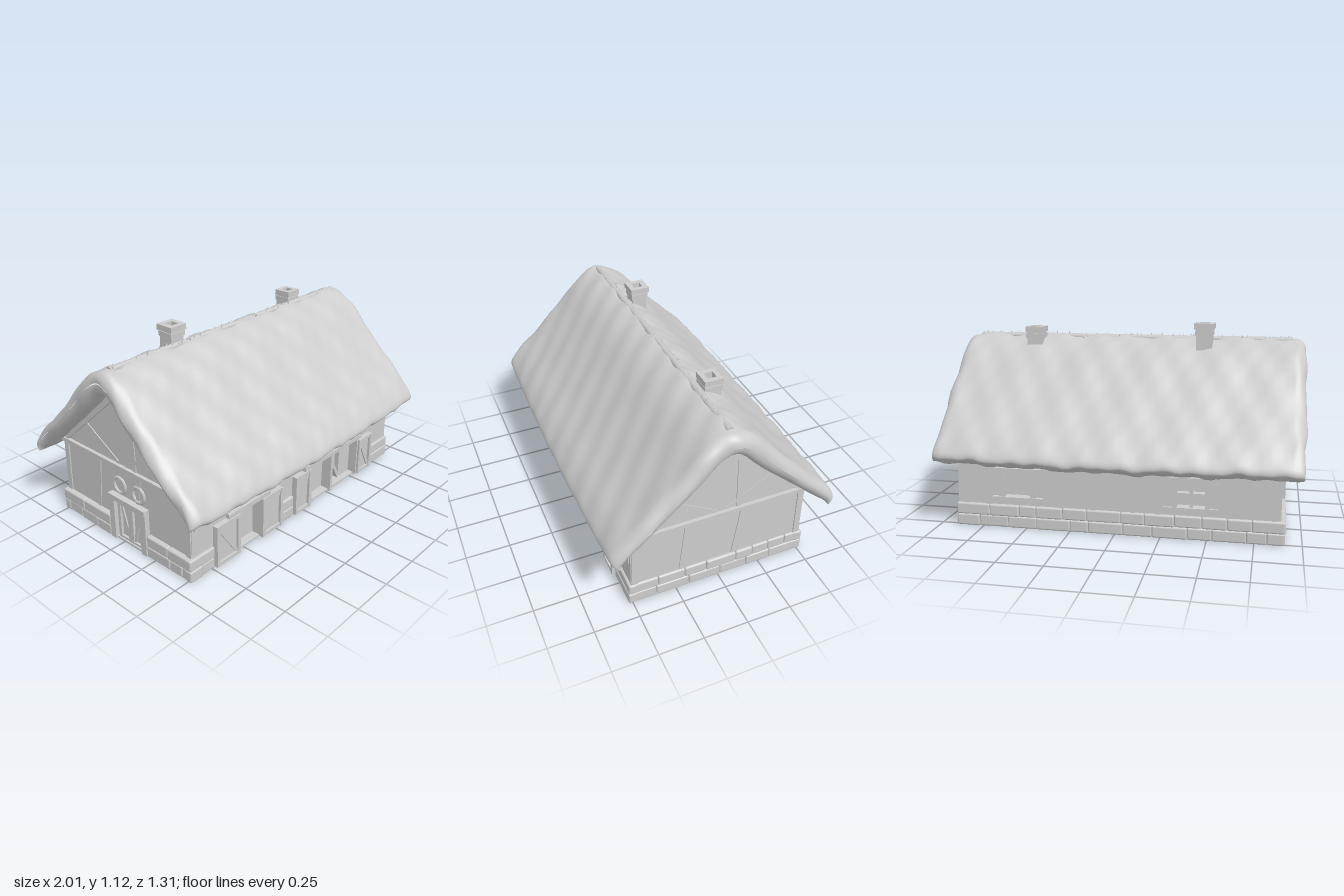
import * as THREE from 'three';
import { RoundedBoxGeometry } from 'three/addons/geometries/RoundedBoxGeometry.js';

export function createModel() {
  const root = new THREE.Group();
  root.name = 'thatchedBarn';
  const clay = new THREE.MeshStandardMaterial({ color: 0xcccccc });
  clay.name = 'paleGrey';

  let seed = 7;
  const rand = (a = 0, b = 1) => {
    seed = (seed * 16807) % 2147483647;
    return a + (b - a) * (seed / 2147483647);
  };
  const group = (name, parent = root) => {
    const g = new THREE.Group();
    g.name = name;
    parent.add(g);
    return g;
  };
  const add = (parent, name, geo) => {
    const m = new THREE.Mesh(geo, clay);
    m.name = name;
    parent.add(m);
    return m;
  };
  // Box given by its min and max corners
  const box = (parent, name, x0, x1, y0, y1, z0, z1) => {
    const m = add(parent, name, new THREE.BoxGeometry(x1 - x0, y1 - y0, z1 - z0));
    m.position.set((x0 + x1) / 2, (y0 + y1) / 2, (z0 + z1) / 2);
    return m;
  };
  // Flat bar between two points in the local xy plane
  const bar = (parent, name, ax, ay, bx, by, w, z0, z1) => {
    const m = add(parent, name, new THREE.BoxGeometry(Math.hypot(bx - ax, by - ay), w, z1 - z0));
    m.position.set((ax + bx) / 2, (ay + by) / 2, (z0 + z1) / 2);
    m.rotation.z = Math.atan2(by - ay, bx - ax);
    return m;
  };
  const polygon = pts => new THREE.Shape(pts.map(p => new THREE.Vector2(...p)));
  const rect = (x0, x1, y0, y1) => [[x0, y0], [x1, y0], [x1, y1], [x0, y1]];
  const wall = (parent, name, pts, holes, depth = 0.05) => {
    const s = polygon(pts);
    holes.forEach(h => s.holes.push(polygon(rect(...h))));
    return add(parent, name, new THREE.ExtrudeGeometry(s, { depth, bevelEnabled: false }));
  };

  // Each side is built facing +z, then turned into place
  const front = group('frontSide');
  const back = group('backSide');
  back.rotation.y = Math.PI;
  const right = group('plainGable');
  right.rotation.y = Math.PI / 2;
  const left = group('doorGable');
  left.rotation.y = -Math.PI / 2;

  // Walls and floor
  const doorways = [[-0.54, -0.37, 0.01, 0.25], [0.08, 0.27, 0.01, 0.25], [0.29, 0.55, 0.01, 0.25]];
  const windows = [[-0.62, -0.47, 0.18, 0.32], [0.34, 0.49, 0.18, 0.32]];
  const gableDoor = [-0.06, 0.15, 0.01, 0.25];
  const gable = [[-0.505, 0], [0.505, 0], [0.505, 0.47], [0, 0.92], [-0.505, 0.47]];
  wall(front, 'frontWall', rect(-0.88, 0.885, 0, 0.48), doorways).position.z = 0.455;
  wall(back, 'backWall', rect(-0.885, 0.88, 0, 0.48), windows).position.z = 0.455;
  wall(right, 'gableWall', gable, []).position.z = 0.84;
  wall(left, 'gableWall', gable, [gableDoor]).position.z = 0.83;
  box(root, 'floor', -0.9, 0.9, 0, 0.012, -0.51, 0.51);

  // Stone footing: two courses of uneven blocks, left out at the doorways
  const footing = (parent, x0, x1, z) => {
    for (let row = 0; row < 2; row++) {
      let x = x0;
      while (x < x1 - 0.001) {
        let end = x + rand(0.09, 0.2);
        if (x1 - end < 0.06) end = x1;
        const stone = add(parent, 'footingStone',
          new RoundedBoxGeometry(end - x, 0.066, 0.05, 2, 0.01));
        stone.position.set((x + end) / 2, 0.033 + row * 0.064, z - 0.025 + rand(-0.005, 0.003));
        x = end;
      }
    }
  };
  for (const [a, b] of [[-0.91, -0.73], [-0.2, -0.08], [0.69, 0.905]]) footing(front, a, b, 0.522);
  footing(back, -0.905, 0.91, 0.522);
  footing(right, -0.52, 0.52, 0.905);
  footing(left, -0.52, -0.1, 0.91);
  footing(left, 0.19, 0.52, 0.91);

  // Open door leaves with frame and diagonal brace
  const leaf = (parent, x0, x1, y1, z, flip) => {
    const g = group('doorLeaf', parent);
    const t = 0.02;
    box(g, 'boards', x0, x1, 0.005, y1, z, z + 0.018);
    box(g, 'sideRail', x0, x0 + t, 0.005, y1, z, z + 0.033);
    box(g, 'sideRail', x1 - t, x1, 0.005, y1, z, z + 0.033);
    for (const y of [0.005, y1 - t]) box(g, 'crossRail', x0, x1, y, y + t, z, z + 0.031);
    const [a, b] = flip ? [x1 - t, x0 + t] : [x0 + t, x1 - t];
    bar(g, 'brace', a, y1 - t, b, 0.025, 0.018, z, z + 0.026);
  };
  leaf(front, -0.73, -0.55, 0.25, 0.505, false);
  leaf(front, -0.37, -0.2, 0.25, 0.505, true);
  leaf(front, -0.08, 0.06, 0.25, 0.505, true);
  leaf(front, 0.55, 0.69, 0.24, 0.505, false);

  // Lintels, posts and recessed door boards
  box(front, 'lintel', -0.63, -0.3, 0.25, 0.275, 0.5, 0.53);
  box(front, 'lintel', 0.01, 0.57, 0.25, 0.275, 0.5, 0.53);
  for (const x of [0.065, 0.27, 0.54]) box(front, 'doorPost', x, x + 0.02, 0, 0.25, 0.46, 0.525);
  box(front, 'doorBoards', -0.56, -0.35, 0, 0.27, 0.44, 0.46);
  box(front, 'doorBoards', 0.06, 0.3, 0, 0.27, 0.44, 0.46);
  box(front, 'doorBoards', 0.29, 0.56, 0, 0.27, 0.42, 0.44);
  bar(front, 'doorBrace', 0.3, 0.24, 0.42, 0.02, 0.02, 0.44, 0.48);
  box(front, 'halfDoor', 0.43, 0.55, 0.01, 0.25, 0.44, 0.47);

  // Gable doorway
  box(left, 'doorBoards', -0.08, 0.17, 0, 0.27, 0.82, 0.84);
  leaf(left, -0.05, 0.05, 0.24, 0.86, false);
  leaf(left, 0.05, 0.145, 0.24, 0.86, true);
  box(left, 'lintel', -0.1, 0.19, 0.25, 0.28, 0.87, 0.915);
  for (const x of [-0.1, 0.15]) box(left, 'doorPost', x, x + 0.04, 0, 0.25, 0.87, 0.91);
  for (const x of [-0.03, 0.12]) {
    add(left, 'archBrace', new THREE.TorusGeometry(0.045, 0.01, 6, 16)).position.set(x, 0.34, 0.882);
  }

  // Back windows with sill, frame, glazing bars
  for (const [x0, x1, y0, y1] of windows) {
    const g = group('window', back);
    const m = (x0 + x1) / 2;
    box(g, 'pane', x0, x1, y0, y1, 0.465, 0.475);
    box(g, 'sill', x0 - 0.07, x1 + 0.07, y0 - 0.025, y0, 0.49, 0.53);
    box(g, 'head', x0 - 0.06, x1 + 0.06, y1, y1 + 0.025, 0.49, 0.528);
    for (const x of [x0 - 0.03, x1]) box(g, 'jamb', x, x + 0.03, y0, y1, 0.47, 0.526);
    if (x0 > 0) {
      box(g, 'mullion', m - 0.008, m + 0.008, y0, y1, 0.47, 0.515);
      box(g, 'transom', x0, x1, 0.243, 0.257, 0.47, 0.512);
      for (const x of [x0 - 0.065, x1 + 0.035]) box(g, 'shutter', x, x + 0.03, y0, y1, 0.5, 0.518);
    }
  }

  // Wall timbers
  for (const x of [-0.85, -0.76, -0.66, -0.28, -0.15, -0.03, 0.62, 0.74, 0.86]) {
    bar(front, 'wallPost', x, 0.28, x + rand(-0.01, 0.01), 0.46, rand(0.02, 0.035), 0.5, 0.512);
  }
  for (const x of [-0.85, -0.72, -0.3, -0.12, 0.1, 0.24, 0.62, 0.85]) {
    bar(back, 'wallPost', x, 0.12, x + rand(-0.01, 0.01), 0.46, rand(0.02, 0.035), 0.5, 0.512);
  }
  for (const [side, z] of [[right, 0.885], [left, 0.875]]) {
    box(side, 'tieBeam', -0.5, 0.5, 0.448, 0.472, z, z + 0.025);
    for (const s of [-1, 1]) {
      bar(side, 'rafter', s * 0.47, 0.475, 0, 0.885, 0.03, z, z + 0.018);
      bar(side, 'cornerPost', s * 0.485, 0.13, s * 0.48, 0.45, 0.035, z, z + 0.012);
      bar(side, 'gableBrace', s * 0.29, 0.63, s * 0.03, 0.48, 0.02, z, z + 0.01);
    }
    bar(side, 'gablePost', 0.1, 0.47, 0.09, 0.79, 0.025, z, z + 0.01);
    bar(side, 'wallPost', 0.09, 0.13, 0.13, 0.45, 0.025, z, z + 0.01);
    bar(side, 'wallPost', -0.22, 0.13, -0.19, 0.45, 0.025, z, z + 0.01);
  }

  // Thatch: a bent thick section swept along x, its ends rounded off
  const half = (pts, n) => new THREE.CatmullRomCurve3(
    [...pts, ...pts.slice(0, -1).reverse().map(([z, y]) => [-z, y])]
      .map(([z, y]) => new THREE.Vector3(0, y, z))).getPoints(n);
  const N = 72;
  const outer = half([[0.61, 0.372], [0.645, 0.41], [0.59, 0.5], [0.46, 0.625], [0.3, 0.79],
    [0.16, 0.94], [0.07, 1.005], [0, 1.03]], N);
  const inner = half([[0.6, 0.372], [0.57, 0.395], [0.49, 0.465], [0.16, 0.765], [0.04, 0.885], [0, 0.895]], N);
  const rings = [];
  for (let k = 0; k <= 8; k++) {
    const a = (k / 8) * Math.PI / 2;
    rings.push([-0.93 - 0.065 * Math.cos(a), Math.sin(a)]);
  }
  for (let k = 1; k < 60; k++) rings.push([-0.93 + 1.86 * k / 60, 1]);
  rings.push(...rings.slice(0, 9).reverse().map(([x, f]) => [-x, f]));
  const pos = [], idx = [], L = 2 * (N + 1);
  for (const [x, f] of rings) {
    for (let j = 0; j < L; j++) {
      const k = j <= N ? j : L - 1 - j;
      const p = (j <= N ? outer : inner)[k];
      const mid = outer[k].clone().add(inner[k]).multiplyScalar(0.5);
      const q = mid.lerp(p, f);
      const bump = 0.004 * Math.sin(x * 17 + q.z * 9) + 0.004 * Math.sin(x * 31 - q.z * 23 + 1)
        + 0.003 * Math.sin(x * 53 + q.z * 41);
      const low = Math.min(1, Math.abs(q.z) / 0.6);
      pos.push(x + (1 - f) * bump, q.y + bump * (j <= N ? 1 : 0.3) - 0.012 * low * (1 - x * x) + 0.012 * low,
        q.z * (0.985 + 0.03 * Math.cos(x * 1.5)));
    }
  }
  for (let i = 0; i < rings.length - 1; i++) {
    for (let j = 0; j < L; j++) {
      const a = i * L + j, b = i * L + (j + 1) % L;
      idx.push(a, a + L, b, b, a + L, b + L);
    }
  }
  const thatch = new THREE.BufferGeometry();
  thatch.setAttribute('position', new THREE.Float32BufferAttribute(pos, 3));
  thatch.setIndex(idx);
  thatch.computeVertexNormals();
  add(root, 'thatchRoof', thatch);

  // Ragged ridge of straw
  const ridge = group('ridge');
  const roll = add(ridge, 'ridgeRoll', new THREE.CylinderGeometry(0.02, 0.02, 1.84, 8));
  roll.rotation.z = Math.PI / 2;
  roll.position.y = 1.02;
  for (let i = 0; i < 90; i++) {
    const tuft = add(ridge, 'strawTuft', new THREE.ConeGeometry(0.014, 0.05, 4));
    tuft.position.set(-0.91 + 1.82 * i / 89, rand(1.02, 1.032), rand(-0.012, 0.012));
    tuft.rotation.set(rand(-0.6, 0.6), rand(0, 3), rand(-0.7, 0.7));
  }

  // Chimneys: hollow square stacks with wider caps
  const stack = (parent, name, w, y0, y1) => {
    const h = w / 2;
    const m = wall(parent, name, rect(-h, h, -h, h), [[-0.025, 0.025, -0.025, 0.025]], y1 - y0);
    m.rotation.x = -Math.PI / 2;
    m.position.y = y0;
  };
  for (const [x, top] of [[-0.43, 1.118], [0.555, 1.085]]) {
    const g = group('chimney');
    g.position.set(x, 0, -0.073);
    stack(g, 'shaft', 0.09, 0.88, top - 0.03);
    stack(g, 'collar', 0.1, top - 0.065, top - 0.038);
    stack(g, 'cap', x < 0 ? 0.112 : 0.104, top - 0.032, top);
    box(g, 'flueBottom', -0.03, 0.03, top - 0.06, top - 0.05, -0.03, 0.03);
  }
  return root;
}
